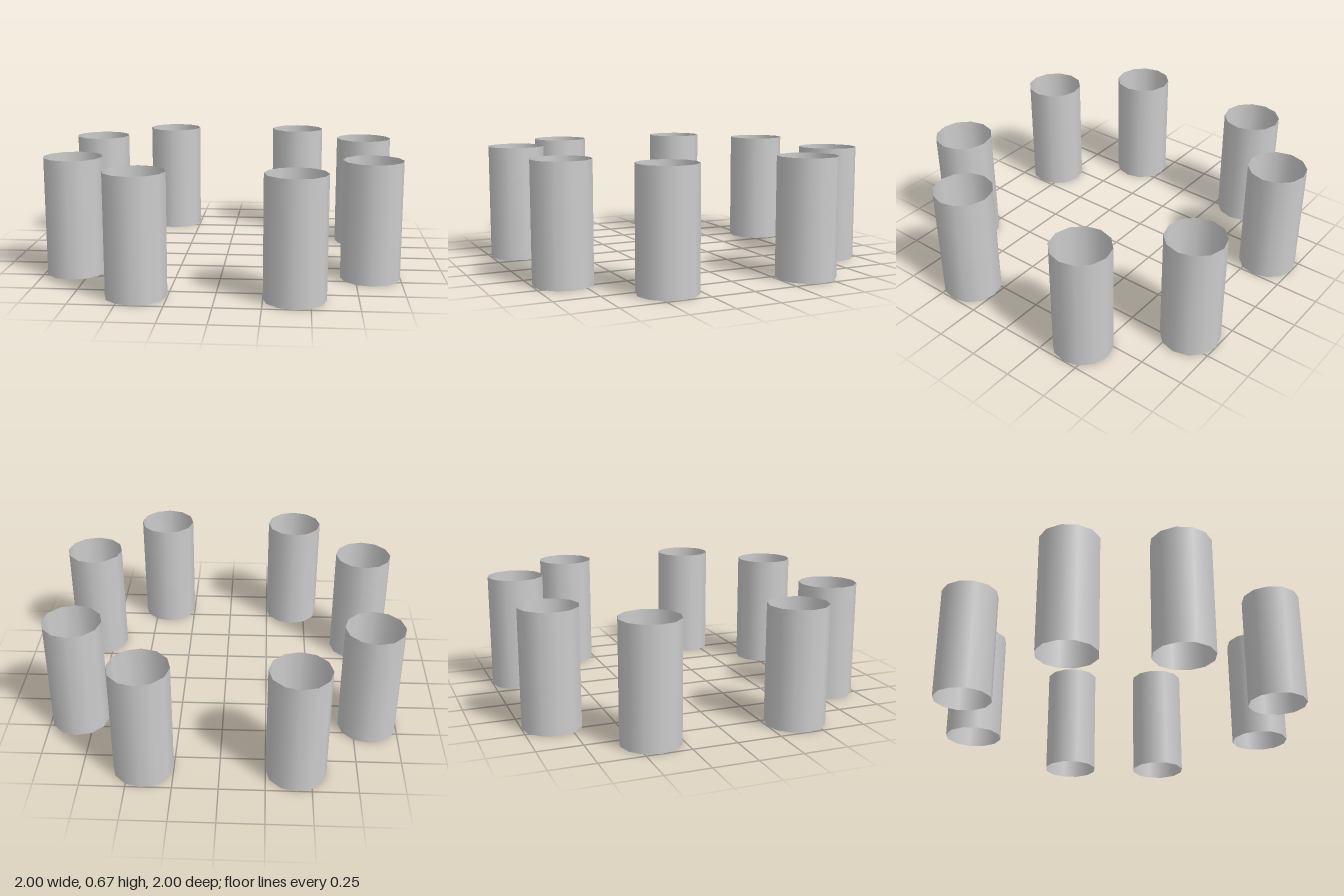
import * as THREE from 'three';

export function createModel() {
  const group = new THREE.Group();
  group.name = 'tubeRing';

  const lightGrey = new THREE.MeshStandardMaterial({ color: 0xcccccc, side: THREE.DoubleSide });
  lightGrey.name = 'lightGrey';

  // Open-ended smooth tube, standing on the ground
  const radius = 1 / 6, height = 2 / 3;
  const tube = new THREE.CylinderGeometry(radius, radius, height, 12, 1, true);
  tube.translate(0, height / 2, 0);

  // Two tubes along each side of a square, mirrored in x and z
  const far = 5 / 6, near = 5 / 12;
  for (const [x, z] of [[far, near], [near, far]]) {
    for (const sx of [-1, 1]) {
      for (const sz of [-1, 1]) {
        const mesh = new THREE.Mesh(tube, lightGrey);
        mesh.name = `tube${group.children.length + 1}`;
        mesh.position.set(sx * x, 0, sz * z);
        group.add(mesh);
      }
    }
  }
  return group;
}
